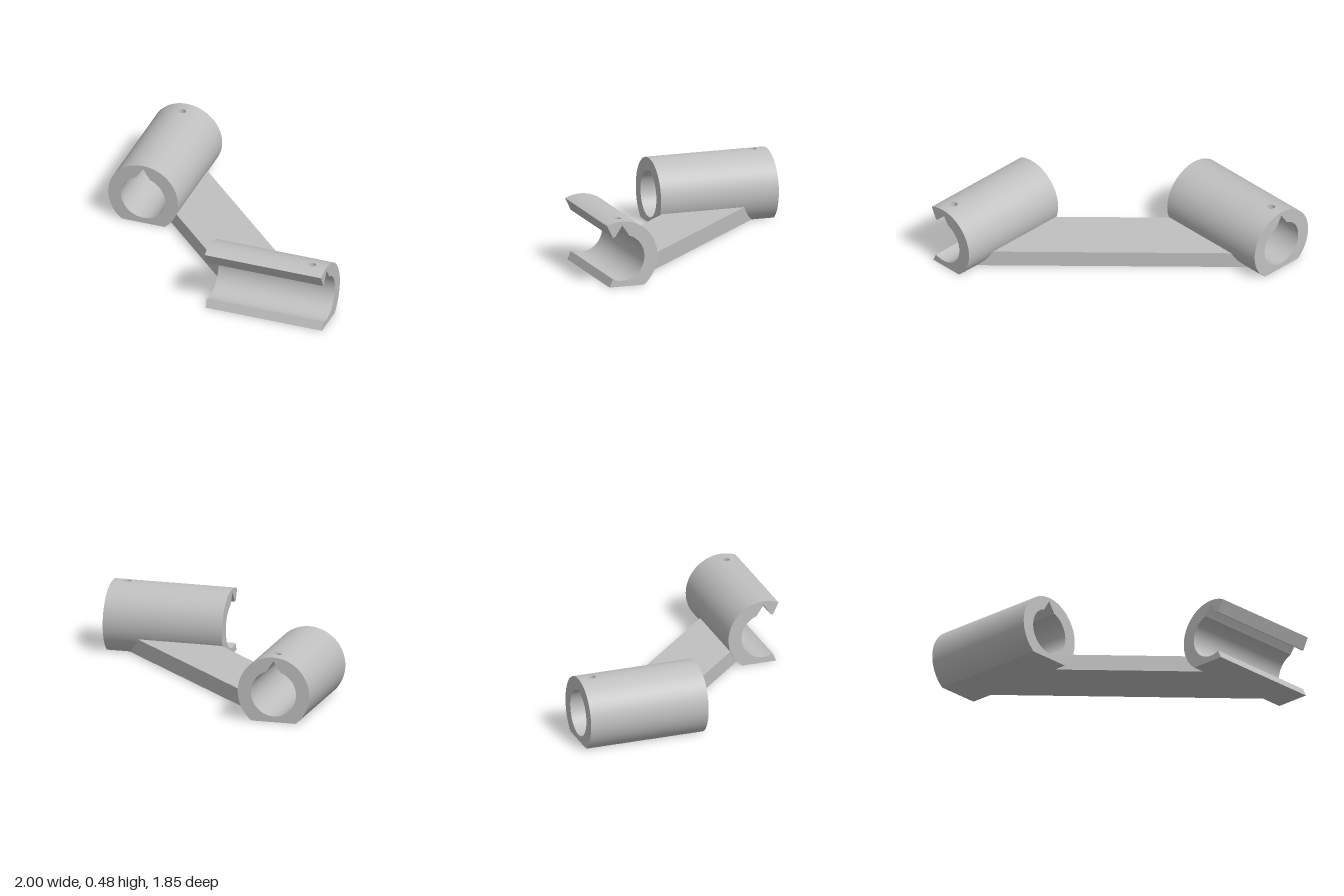
import * as THREE from 'three';
import { mergeGeometries, toCreasedNormals } from 'three/addons/utils/BufferGeometryUtils.js';

const R = 0.27, BORE = 0.17, AXIS = 0.213;          // outer radius, bore radius, axis height
const FLAT = Math.PI - Math.acos(AXIS / R);         // angle from the top where the flat base begins
const BASE = Math.sqrt(R * R - AXIS * AXIS);        // half width of the flat base
const GROOVE = 0.317;                               // half angle of the V groove
const PATCH = 0.035, HOLE = 0.027;                  // half size of the pierced patch, hole radius

// Radii of the wall at an angle measured from the top
const outer = a => (Math.abs(a) > FLAT ? -AXIS / Math.cos(a) : R);
const inner = a => (Math.abs(a) < GROOVE
  ? Math.max(BORE, 0.242 / (Math.cos(a) + 1.5 * Math.sin(Math.abs(a)))) : BORE);

// Length of tube wall between two angles, from z0 to z1
function wall(a0, a1, z0, z1) {
  const marks = [0, GROOVE, -GROOVE, FLAT, -FLAT];
  for (let i = -64; i <= 64; i++) if (i) marks.push(i * Math.PI / 48);
  const angles = [a0, ...marks.filter(a => a > a0 + 0.003 && a < a1 - 0.003).sort((p, q) => p - q), a1];
  const at = (a, r) => new THREE.Vector2(r * Math.sin(a), r * Math.cos(a));
  const shape = new THREE.Shape([
    ...angles.map(a => at(a, outer(a))),
    ...angles.slice().reverse().map(a => at(a, inner(a))),
  ]);
  return new THREE.ExtrudeGeometry(shape, { depth: z1 - z0, bevelEnabled: false }).translate(0, 0, z0);
}

// Half of the small patch of wall around the screw hole, bent to the tube
function patchHalf(side, zHole) {
  const pts = [[0, -PATCH], [PATCH, -PATCH], [PATCH, PATCH], [0, PATCH]];
  for (let i = 0; i <= 12; i++) {
    const t = Math.PI * i / 12;
    pts.push([HOLE * Math.sin(t), HOLE * Math.cos(t)]);
  }
  const shape = new THREE.Shape(pts.map(([x, y]) => new THREE.Vector2(side * x, y)));
  const geo = new THREE.ExtrudeGeometry(shape, { depth: 1, bevelEnabled: false });
  const p = geo.attributes.position;
  for (let i = 0; i < p.count; i++) {
    const a = Math.asin(p.getX(i) / R);
    const r = p.getZ(i) > 0.5 ? R : inner(a);
    p.setXYZ(i, r * Math.sin(a), r * Math.cos(a), zHole - p.getY(i));
  }
  return geo;
}

// Grooved tube with a screw hole through its top
function tube(name, material, a0, a1, z0, z1, zHole) {
  const cut = Math.asin(PATCH / R), h0 = zHole - PATCH, h1 = zHole + PATCH;
  const merged = mergeGeometries([
    wall(a0, a1, z0, h0),
    wall(a0, -cut, h0, h1),
    wall(cut, a1, h0, h1),
    wall(a0, a1, h1, z1),
    patchHalf(1, zHole),
    patchHalf(-1, zHole),
  ]);
  const mesh = new THREE.Mesh(toCreasedNormals(merged, 0.4), material);
  mesh.name = name;
  return mesh;
}

export function createModel() {
  const model = new THREE.Group();
  model.name = 'tubeBracket';
  const grey = new THREE.MeshStandardMaterial({ color: 0xc0c0c0 });
  grey.name = 'grey';

  // Closed tube running front to back
  const closed = tube('closedTube', grey, -Math.PI, Math.PI, -0.925, -0.02, -0.82);
  closed.position.set(-0.73, AXIS, 0);

  // Tube running sideways, open along its front
  const open = tube('openTube', grey, 2.71 - 2 * Math.PI, 0.44, -1, -0.1, -0.89);
  open.position.set(0, AXIS, 0.805);
  open.rotation.y = -Math.PI / 2;

  // Flat diagonal arm, running into both tube walls
  const x0 = -0.73 + BASE, z1 = 0.805 - BASE;
  const corners = [[x0, x0 - 0.19], [z1 + 0.19, z1], [z1 - 0.445, z1], [x0, x0 + 0.445]];
  const armShape = new THREE.Shape(corners.map(([x, z]) => new THREE.Vector2(x, -z)));
  const armGeo = new THREE.ExtrudeGeometry(armShape, { depth: 0.12, bevelEnabled: false });
  const arm = new THREE.Mesh(armGeo.rotateX(-Math.PI / 2), grey);
  arm.name = 'diagonalArm';

  model.add(closed, open, arm);
  return model;
}
